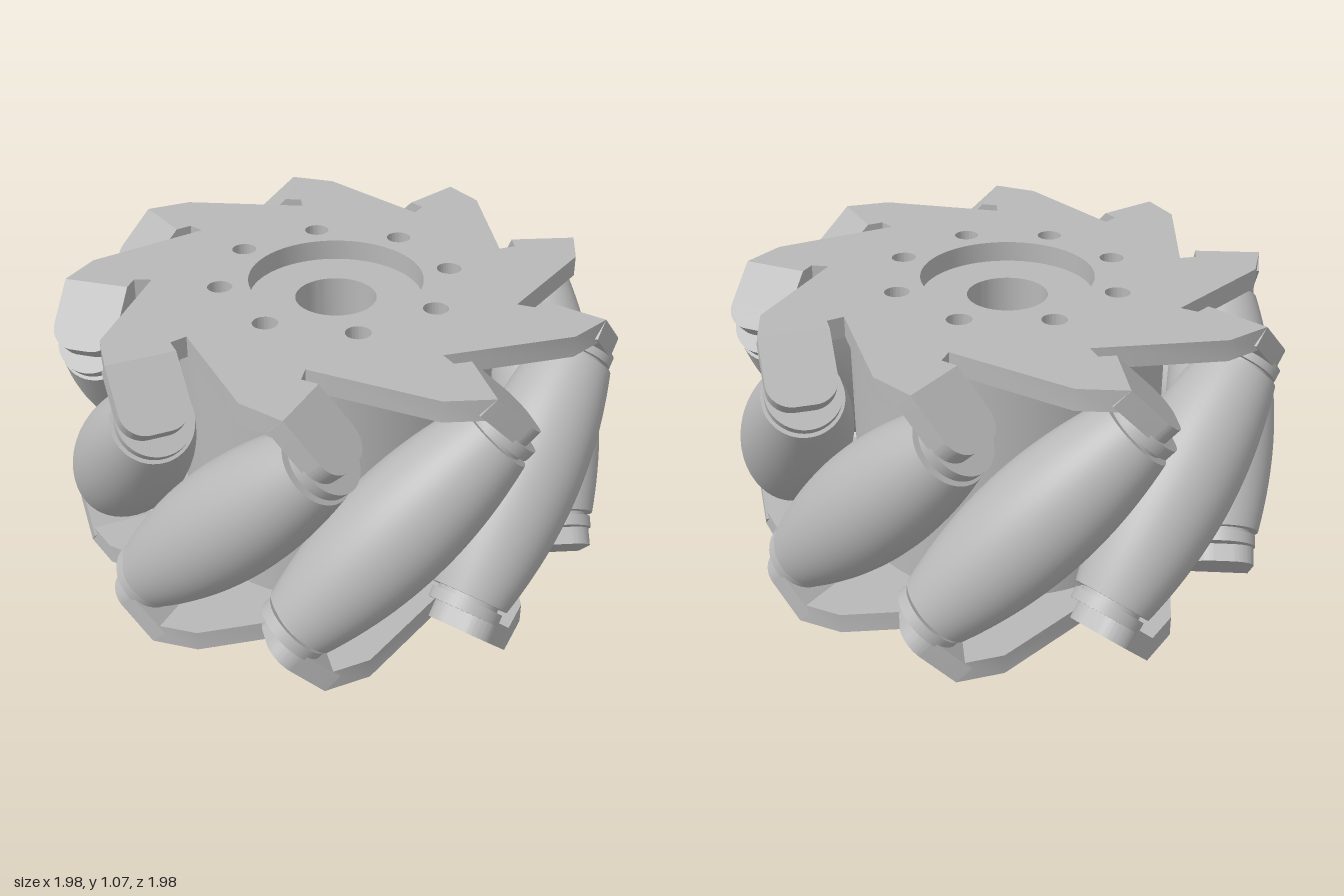
import * as THREE from 'three';
import { toCreasedNormals } from 'three/addons/utils/BufferGeometryUtils.js';

const COUNT = 9, STEP = (Math.PI * 2) / COUNT;
const HEIGHT = 1.065, THICK = 0.075, MID = HEIGHT / 2;
const ROLLER_R = 0.79;   // distance of roller axes from the wheel axis
const TAB_IN = 0.68, TAB_OUT = 0.915, BEND = 0.27;

function circlePath(r, x = 0, y = 0) {
  return new THREE.Path().absarc(x, y, r, 0, Math.PI * 2, true);
}

function addBoltHoles(shape, sign) {
  for (let i = 0; i < 8; i++) {
    const a = sign * THREE.MathUtils.degToRad(76) + (i * Math.PI) / 4;
    shape.holes.push(circlePath(0.044, 0.412 * Math.cos(a), 0.412 * Math.sin(a)));
  }
}

// Extrudes a plan shape upwards from y0 to y1
function slab(shape, y0, y1) {
  const g = new THREE.ExtrudeGeometry(shape, { depth: y1 - y0, bevelEnabled: false, curveSegments: 48 });
  g.rotateX(-Math.PI / 2);
  g.translate(0, y0, 0);
  return toCreasedNormals(g, 0.5);
}

// Saw-toothed plate: one tooth, repeated round the axis
function plateGeometry(sign) {
  const tooth = [[-0.6, 0.25], [-0.885, -0.105], [-TAB_OUT, -BEND], [-TAB_IN, -BEND], [-TAB_IN, -0.21]];
  const pts = [];
  for (let i = 0; i < COUNT; i++) {
    for (const [x, y] of tooth) {
      pts.push(new THREE.Vector2(x, y).rotateAround(new THREE.Vector2(), i * STEP));
    }
  }
  const shape = new THREE.Shape(pts);
  shape.holes.push(circlePath(0.31));
  addBoltHoles(shape, sign);
  return slab(shape, HEIGHT - THICK, HEIGHT);
}

// Rounded tab bent down by 45 degrees
function tabGeometry() {
  const len = 0.25, r = 0.085;
  const s = new THREE.Shape();
  s.moveTo(-TAB_OUT, 0);
  s.lineTo(-TAB_IN, 0);
  s.lineTo(-TAB_IN, len - r);
  s.absarc(-TAB_IN - r, len - r, r, 0, Math.PI / 2, false);
  s.absarc(-TAB_OUT + r, len - r, r, Math.PI / 2, Math.PI, false);
  s.closePath();
  const g = new THREE.ExtrudeGeometry(s, { depth: THICK, bevelEnabled: false, curveSegments: 10 });
  g.rotateX(Math.PI * 0.75);
  g.translate(0, HEIGHT, BEND);
  return toCreasedNormals(g, 0.5);
}

// Barrel whose outer line follows the wheel's rolling circle
function barrelGeometry() {
  const half = 0.45, pts = [];
  for (let i = 0; i <= 24; i++) {
    const s = -half + (2 * half * i) / 24;
    pts.push(new THREE.Vector2(0.99 - Math.sqrt(ROLLER_R ** 2 + (s * s) / 2), s));
  }
  return new THREE.LatheGeometry(pts, 48);
}

export function createModel() {
  const metal = new THREE.MeshStandardMaterial({ color: 0xb8b8b8 });
  metal.name = 'grey metal';
  const wheel = new THREE.Group();
  wheel.name = 'rollerWheel';

  function add(parent, name, geometry) {
    const m = new THREE.Mesh(geometry, metal);
    m.name = name;
    parent.add(m);
    return m;
  }

  // Hub in three layers: hexagonal pocket, axle hole, round bore
  const hex = new THREE.Path();
  for (let i = 0; i < 6; i++) {
    const a = Math.PI / 4 - (i * Math.PI) / 3;
    const x = 0.183 * Math.cos(a), y = 0.183 * Math.sin(a);
    if (i) hex.lineTo(x, y); else hex.moveTo(x, y);
  }
  hex.closePath();
  const layers = [
    ['hubHexPocket', hex, THICK, 0.42],
    ['hubCore', circlePath(0.06), 0.42, 0.66],
    ['hubBore', circlePath(0.145), 0.66, HEIGHT - THICK],
  ];
  for (const [name, hole, y0, y1] of layers) {
    const s = new THREE.Shape().absarc(0, 0, 0.57, 0, Math.PI * 2, false);
    s.holes.push(hole);
    addBoltHoles(s, 1);
    add(wheel, name, slab(s, y0, y1));
  }

  // Two toothed plates; the lower is the upper turned over
  const tab = tabGeometry();
  for (const sign of [1, -1]) {
    const side = new THREE.Group();
    side.name = sign > 0 ? 'upperPlate' : 'lowerPlate';
    add(side, 'plate', plateGeometry(sign));
    for (let i = 0; i < COUNT; i++) add(side, 'bentTab', tab).rotation.y = i * STEP;
    if (sign < 0) {
      side.rotation.x = Math.PI;
      side.position.y = HEIGHT;
    }
    wheel.add(side);
  }

  // Slanted rollers between the tabs
  const barrel = barrelGeometry();
  const barrelEnds = new THREE.CylinderGeometry(0.138, 0.138, 0.9, 48);
  const pin = new THREE.CylinderGeometry(0.108, 0.108, 0.98, 32);
  const collar = new THREE.CylinderGeometry(0.128, 0.128, 0.04, 48);
  for (let i = 0; i < COUNT; i++) {
    const arm = new THREE.Group();
    arm.name = 'rollerArm';
    arm.rotation.y = i * STEP;
    const roller = new THREE.Group();
    roller.name = 'roller';
    roller.position.set(-ROLLER_R, MID, 0);
    roller.rotation.x = Math.PI / 4;
    add(roller, 'barrel', barrel);
    add(roller, 'barrelEnds', barrelEnds);
    add(roller, 'pin', pin);
    for (const s of [1, -1]) add(roller, 'collar', collar).position.y = s * 0.485;
    arm.add(roller);
    wheel.add(arm);
  }

  // Centre on the axis frame
  const c = new THREE.Box3().setFromObject(wheel, true).getCenter(new THREE.Vector3());
  wheel.position.set(-c.x, 0, -c.z);
  const model = new THREE.Group();
  model.name = 'model';
  model.add(wheel);
  return model;
}
